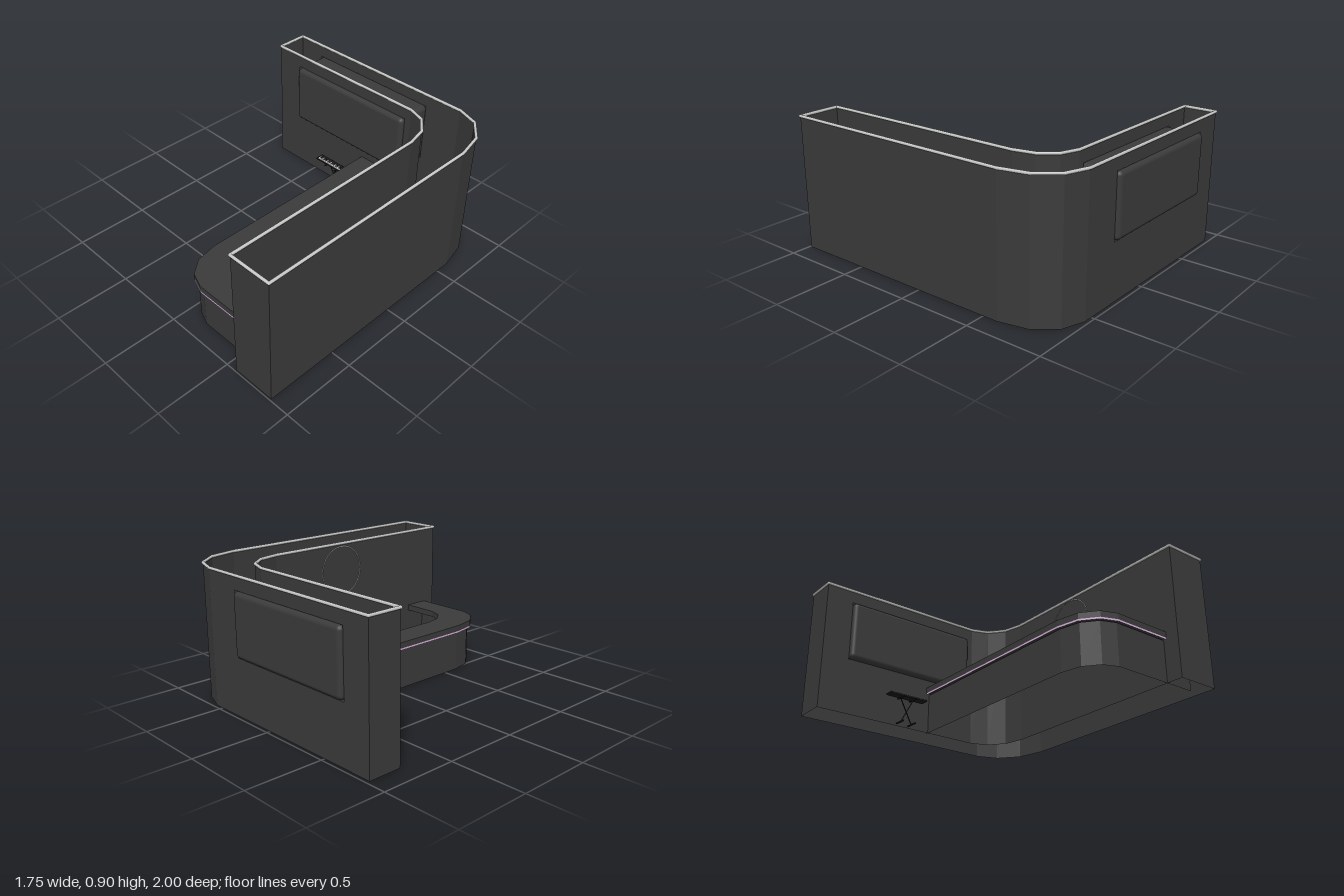
import * as THREE from 'three';
import { RoundedBoxGeometry } from 'three/addons/geometries/RoundedBoxGeometry.js';

const mat = (name, color, side = THREE.FrontSide) => {
  const m = new THREE.MeshStandardMaterial({ color, side });
  m.name = name;
  return m;
};

// upright faceted band following [x, z] points
function ribbon(points, y0, y1) {
  const pos = [];
  for (let i = 0; i < points.length - 1; i++) {
    const [ax, az] = points[i], [bx, bz] = points[i + 1];
    pos.push(ax, y0, az, bx, y0, bz, bx, y1, bz, ax, y0, az, bx, y1, bz, ax, y1, az);
  }
  const g = new THREE.BufferGeometry();
  g.setAttribute('position', new THREE.Float32BufferAttribute(pos, 3));
  g.computeVertexNormals();
  return g;
}

// flat rectangle in x, y with a rectangular opening
function openedWall(x0, x1, y0, y1, hole) {
  const rect = (C, a, b, c, d) => {
    const s = new C();
    s.moveTo(a, c); s.lineTo(b, c); s.lineTo(b, d); s.lineTo(a, d); s.closePath();
    return s;
  };
  const shape = rect(THREE.Shape, x0, x1, y0, y1);
  shape.holes.push(rect(THREE.Path, ...hole));
  return new THREE.ShapeGeometry(shape);
}

export function createModel() {
  const model = new THREE.Group();
  const dark = mat('charcoal', 0x3b3b3b);
  const darkSheet = mat('charcoalSheet', 0x3b3b3b, THREE.DoubleSide);
  const metal = mat('paleMetal', 0xc9cbc8);
  const pink = mat('pinkLight', 0xd9b0dc, THREE.DoubleSide);
  const black = mat('black', 0x1a1a1a);
  const white = mat('whiteKeys', 0xe6e6e6);

  const add = (name, geometry, material, x = 0, y = 0, z = 0, parent = model) => {
    const mesh = new THREE.Mesh(geometry, material);
    mesh.name = name;
    mesh.position.set(x, y, z);
    parent.add(mesh);
    return mesh;
  };
  // round bar between two points
  const bar = (name, a, b, r, material, parent) => {
    const dir = b.clone().sub(a);
    const mesh = add(name, new THREE.CylinderGeometry(r, r, dir.length(), 8), material, 0, 0, 0, parent);
    mesh.position.copy(a).add(b).multiplyScalar(0.5);
    mesh.quaternion.setFromUnitVectors(new THREE.Vector3(0, 1, 0), dir.normalize());
    return mesh;
  };

  // hollow L-shaped wall, open above and below
  const top = 0.885;
  const outer = [[0.56, -0.977], [0.71, -0.925], [0.82, -0.79], [0.862, -0.6], [0.862, 0.99]];
  const inner = [[0.57, 0.99], [0.57, -0.47], [0.54, -0.61], [0.455, -0.715], [0.335, -0.757]];
  const end = [[-0.865, -0.757], [-0.865, -0.977]];
  const hole = [-0.672, 0.292, 0.383, 0.8];
  const wall = new THREE.Group();
  wall.name = 'wall';
  model.add(wall);
  add('curvedWall', ribbon([...outer, ...inner].reverse(), 0, top), darkSheet, 0, 0, 0, wall);
  add('wallEnd', ribbon([...end].reverse(), 0, top), darkSheet, 0, 0, 0, wall);
  add('frontWall', openedWall(-0.865, 0.335, 0, top, hole), darkSheet, 0, 0, -0.757, wall);
  add('backWall', openedWall(-0.865, 0.56, 0, top, hole), darkSheet, 0, 0, -0.977, wall);

  // metal rim along the wall top
  const rim = new THREE.Group();
  rim.name = 'rim';
  model.add(rim);
  const loop = [...outer, ...inner, ...end].map(([x, z]) => new THREE.Vector3(x, 0.89, z));
  loop.forEach((p, i) => {
    bar('rimBar', p, loop[(i + 1) % loop.length], 0.01, metal, rim);
    add('rimJoint', new THREE.SphereGeometry(0.01, 8, 6), metal, p.x, p.y, p.z, rim);
  });

  // cushion-like screen set through both wall faces
  add('screen', new RoundedBoxGeometry(0.96, 0.412, 0.272, 4, 0.03), dark, -0.19, 0.592, -0.864);

  // plain ring on the inner side wall
  const ring = add('wallRing', new THREE.TorusGeometry(0.17, 0.003, 4, 32), metal, 0.566, 0.7, 0.075);
  ring.rotation.y = Math.PI / 2;

  // counter with a curved corner
  const edge = [[-0.05, -0.78], [-0.05, 0.61], [-0.02, 0.76], [0.06, 0.86], [0.165, 0.9], [0.78, 0.9]];
  const inside = [[0.78, 0.73], [0.32, 0.73], [0.235, 0.7], [0.17, 0.62], [0.15, 0.51], [0.15, -0.78]];
  const base = [[-0.028, -0.78], [-0.028, 0.61], [0, 0.747], [0.074, 0.84], [0.17, 0.878], [0.78, 0.878]];
  const outline = new THREE.Shape([...edge, ...inside].map(([x, z]) => new THREE.Vector2(x, -z)));
  const slab = new THREE.ExtrudeGeometry(outline, { depth: 0.04, bevelEnabled: false });
  slab.rotateX(-Math.PI / 2);
  add('counterTop', slab, dark, 0, 0.287, 0);
  add('counterLightStrip', ribbon(edge, 0.274, 0.287), pink);
  add('counterFront', ribbon(base, 0, 0.276), darkSheet);

  // keyboard on a crossed stand
  const keyboard = new THREE.Group();
  keyboard.name = 'keyboard';
  keyboard.position.set(-0.25, 0, -0.685);
  model.add(keyboard);
  add('keyboardBody', new THREE.BoxGeometry(0.285, 0.012, 0.06), black, 0, 0.187, 0, keyboard);
  for (let i = 0; i < 24; i++) {
    const x = (i - 11.5) * 0.0107;
    add('whiteKey', new THREE.BoxGeometry(0.009, 0.004, 0.034), white, x, 0.194, 0.011, keyboard);
    if (![2, 6].includes(i % 7) && i < 23)
      add('blackKey', new THREE.BoxGeometry(0.006, 0.004, 0.02), black, x + 0.0053, 0.197, 0.004, keyboard);
  }
  for (const s of [-1, 1]) {
    const z = s * 0.008;
    bar('standLeg', new THREE.Vector3(-s * 0.046, 0.005, z), new THREE.Vector3(s * 0.046, 0.178, z), 0.004, black, keyboard);
    add('standFoot', new THREE.BoxGeometry(0.01, 0.008, 0.085), black, s * 0.046, 0.004, 0, keyboard);
    add('standSupport', new THREE.BoxGeometry(0.01, 0.008, 0.085), black, s * 0.046, 0.178, 0, keyboard);
  }
  return model;
}
